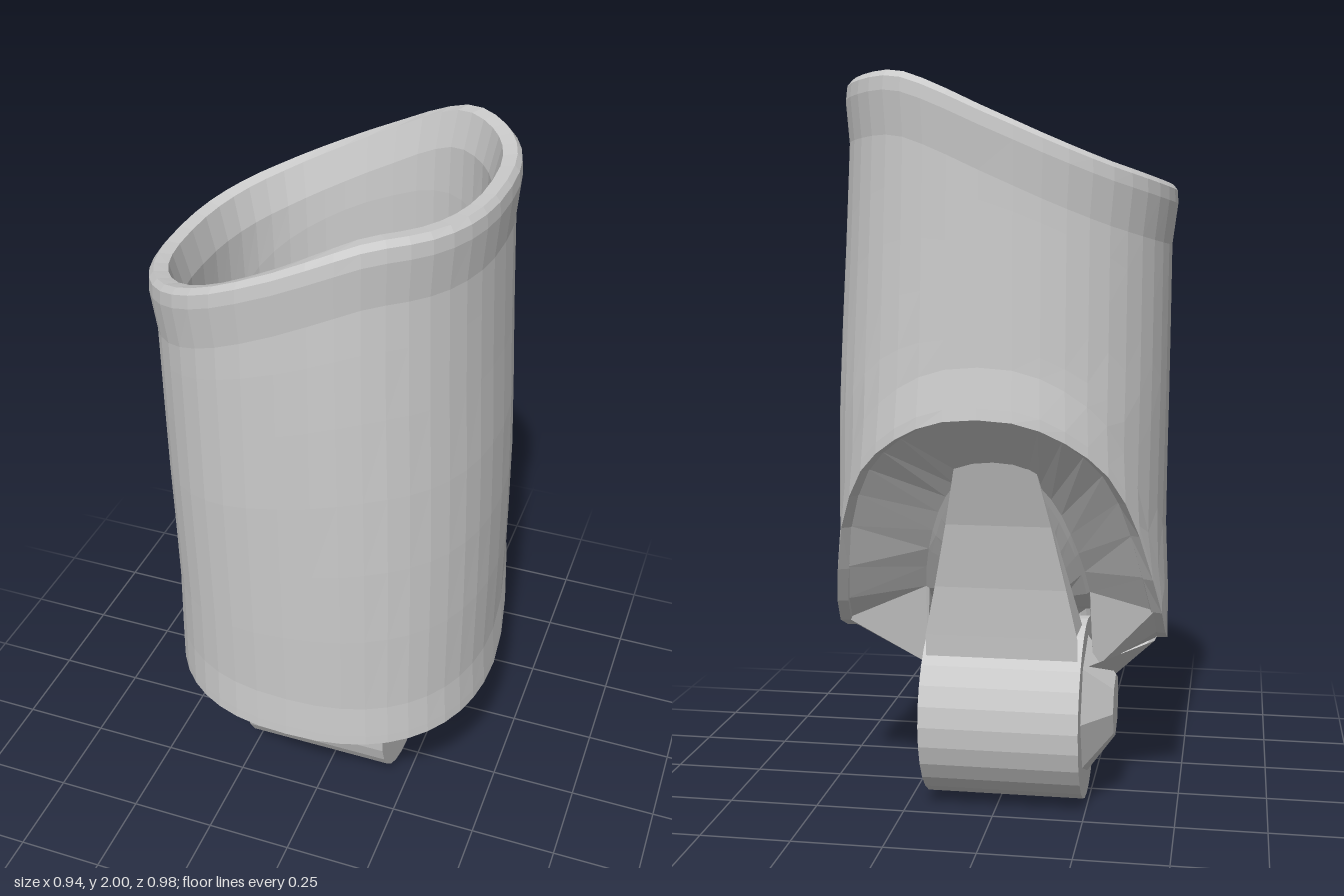
import * as THREE from 'three';

const SEG = 44;
const material = new THREE.MeshStandardMaterial({ color: 0xcccccc, flatShading: true, side: THREE.DoubleSide });

// Piecewise linear lookup through [key, value] pairs.
function lerpTable(table, k) {
  if (k <= table[0][0]) return table[0][1];
  for (let i = 1; i < table.length; i++) {
    const [k0, v0] = table[i - 1], [k1, v1] = table[i];
    if (k <= k1) return v0 + (v1 - v0) * (k - k0) / (k1 - k0);
  }
  return table[table.length - 1][1];
}

// Sleeve half-widths by height, and the edges of its slanted top and scooped back.
const LEFT = [[0.46, 0.46], [0.8, 0.46], [1.2, 0.452], [1.6, 0.428], [2, 0.408]];
const RIGHT = [[0.46, 0.452], [0.6, 0.462], [0.8, 0.452], [1.2, 0.457], [1.75, 0.46]];
const FRONT = [[0.46, 0.47], [0.8, 0.482], [1.2, 0.49], [1.6, 0.487], [2, 0.473]];
const BACK = [[0.46, 0.475], [1.12, 0.477], [1.25, 0.466], [1.6, 0.456], [2, 0.447]];
const TOP = [[-0.46, 1.72], [-0.3, 1.775], [-0.18, 1.825], [0.05, 1.93], [0.15, 1.97], [0.22, 1.993], [0.28, 2], [0.45, 1.99]];
const BOTTOM = [[-0.48, 1.13], [-0.45, 1.08], [-0.38, 0.98], [-0.3, 0.84], [-0.22, 0.66], [-0.15, 0.55], [-0.05, 0.46]];
// Height of the sloping floor by depth.
const FLOOR = [[-0.31, 0.98], [-0.2, 0.76], [-0.1, 0.6], [0, 0.54], [0.13, 0.5], [0.21, 0.4]];

function unitPoint(i) {
  const a = (i / SEG) * Math.PI * 2, c = Math.cos(a), s = Math.sin(a), e = 2 / 2.35;
  return [Math.sign(c) * Math.abs(c) ** e, Math.sign(s) * Math.abs(s) ** e];
}

// Ring around the sleeve at fraction t of its local height, moved out by "out" and up by "lift".
function sleeveRing(t, out, lift = 0) {
  return Array.from({ length: SEG }, (_, i) => {
    const [u, v] = unitPoint(i);
    const lo = lerpTable(BOTTOM, v * 0.48), hi = lerpTable(TOP, u * 0.45);
    const y = lo + (hi - lo) * t + lift;
    const x = u * (lerpTable(u > 0 ? LEFT : RIGHT, y) + out);
    const z = v * (lerpTable(v > 0 ? FRONT : BACK, y) + out);
    return [x, y, z];
  });
}

// Skin a list of closed rings.
function loft(rings) {
  const index = [];
  for (let r = 0; r < rings.length - 1; r++) {
    for (let i = 0; i < SEG; i++) {
      const j = (i + 1) % SEG, a = r * SEG, b = a + SEG;
      index.push(a + i, b + i, a + j, a + j, b + i, b + j);
    }
  }
  const geo = new THREE.BufferGeometry();
  geo.setAttribute('position', new THREE.Float32BufferAttribute(rings.flat(2), 3));
  geo.setIndex(index);
  geo.computeVertexNormals();
  return geo;
}

export function createModel() {
  const group = new THREE.Group();
  const add = (name, geometry) => {
    const mesh = new THREE.Mesh(geometry, material);
    mesh.name = name;
    group.add(mesh);
    return mesh;
  };

  // Hollow sleeve: up the outside, over the flared lip, down the inside
  const rings = [sleeveRing(0, 0.01), sleeveRing(0, 0.008, 0.03), sleeveRing(0, 0, 0.13)];
  for (const t of [0.25, 0.4, 0.55, 0.7, 0.82]) rings.push(sleeveRing(t, 0));
  rings.push(
    sleeveRing(1, 0, -0.16), sleeveRing(1, 0.014, -0.05), sleeveRing(1, 0.012, -0.015),
    sleeveRing(1, 0), sleeveRing(1, -0.035, -0.005), sleeveRing(1, -0.06, -0.1)
  );
  for (const t of [0.75, 0.5, 0.25]) rings.push(sleeveRing(t, -0.065));
  rings.push(sleeveRing(0, -0.05, 0.06), sleeveRing(0, -0.02), rings[0]);
  add('sleeve', loft(rings));

  // Funnel closing the sleeve's lower edge, then a floor sloping over the joint
  const neckRing = (s) => Array.from({ length: SEG }, (_, i) => {
    const [u, v] = unitPoint(i);
    const z = (v > 0 ? 0.21 : 0.31) * v * s;
    const y = lerpTable(FLOOR, z);
    return [(u * 0.24 - 0.02) * s, s === 1 && z > -0.1 ? 0.37 : y, z];
  });
  add('floor', loft([sleeveRing(0, -0.01, 0.005), neckRing(1), neckRing(0.96), neckRing(0.7), neckRing(0.35), neckRing(0.01)]));

  // Strap rising from the joint into the scooped back
  const profile = [[0.12, 0.3], [0.12, 0.46], [-0.08, 0.5], [-0.24, 0.82], [-0.33, 1.0], [-0.27, 0.82], [-0.235, 0.64], [-0.22, 0.5], [-0.2, 0.3]];
  const strapShape = new THREE.Shape(profile.map(([z, y]) => new THREE.Vector2(-z, y)));
  const strapGeo = new THREE.ExtrudeGeometry(strapShape, { depth: 0.42, bevelEnabled: false });
  strapGeo.rotateY(Math.PI / 2);
  // Taper the strap toward its upper end
  const pos = strapGeo.attributes.position;
  for (let i = 0; i < pos.count; i++) {
    const k = 1 - 0.5 * Math.max(0, pos.getY(i) - 0.5) / 0.5;
    pos.setX(i, (pos.getX(i) - 0.21) * k - 0.02);
  }
  strapGeo.computeVertexNormals();
  add('strap', strapGeo);

  // Joint barrel lying across the bottom
  const barrel = add('jointBarrel', new THREE.CylinderGeometry(0.257, 0.257, 0.44, 28));
  barrel.rotation.z = Math.PI / 2;
  barrel.position.set(-0.02, 0.257, -0.035);

  // Faceted hub on the right end of the barrel
  const hub = add('jointHub', new THREE.CylinderGeometry(0.2, 0.09, 0.08, 8));
  hub.rotation.z = -Math.PI / 2;
  hub.position.set(-0.28, 0.265, -0.03);

  // Small gusset between the hub and the sleeve's lower edge
  const gusset = new THREE.BufferGeometry();
  gusset.setAttribute('position', new THREE.Float32BufferAttribute([
    -0.44, 0.46, 0.08, -0.31, 0.34, 0.0, -0.24, 0.4, 0.14,
    -0.44, 0.46, 0.08, -0.43, 0.47, -0.08, -0.31, 0.34, 0.0,
    -0.43, 0.47, -0.08, -0.24, 0.4, -0.14, -0.31, 0.34, 0.0
  ], 3));
  gusset.computeVertexNormals();
  add('gusset', gusset);

  return group;
}
